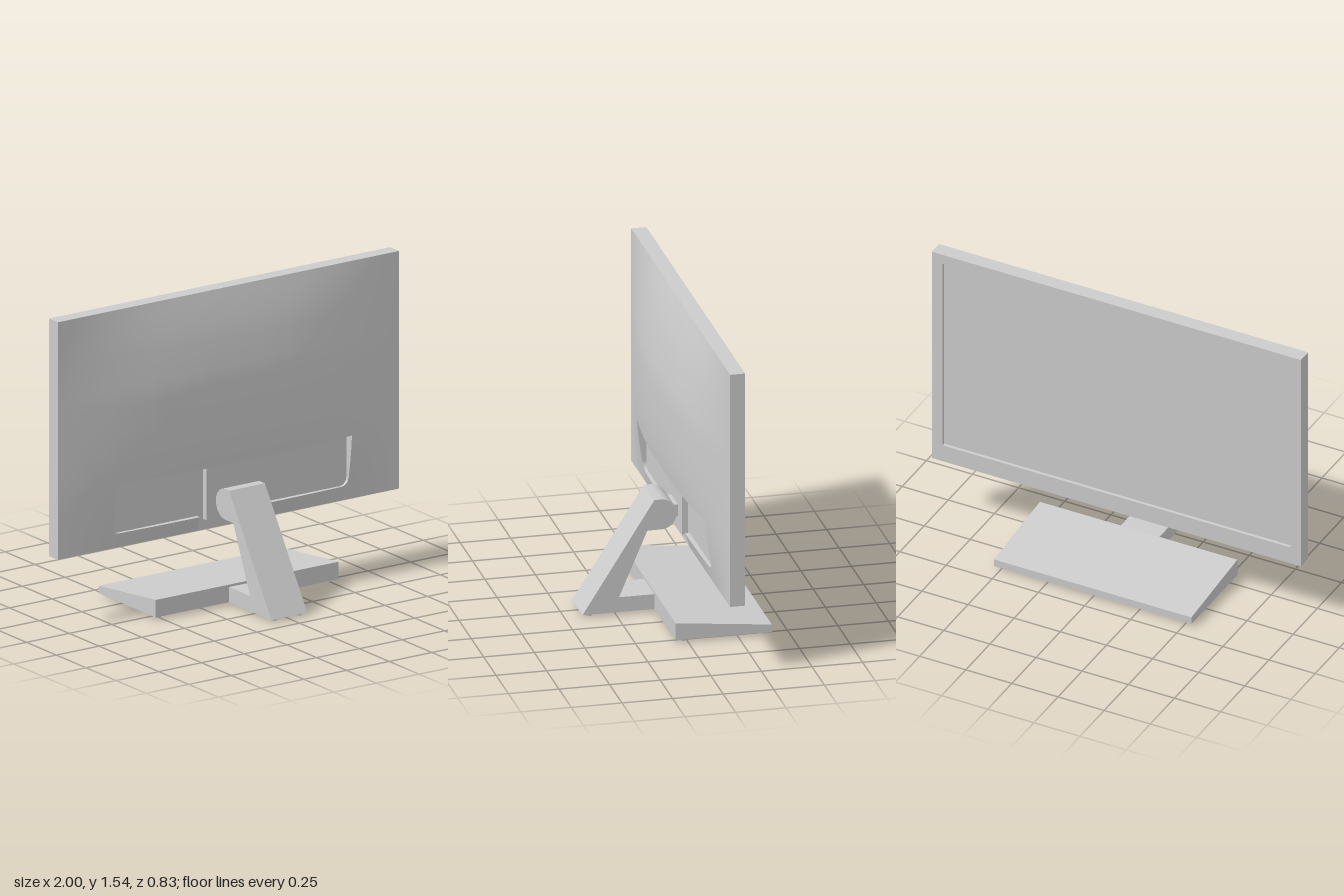
import * as THREE from 'three';

const grey = new THREE.MeshStandardMaterial({ color: 0xcccccc });
const greyDouble = new THREE.MeshStandardMaterial({ color: 0xcccccc, side: THREE.DoubleSide });

const BACK = -0.095, BOTTOM = 0.345, TOP = 1.54;
const POCKET = { x: 0.69, top: 0.68, low: 0.42, notch: 0.185, r: 0.04 };

function lerpTable(table, v) {
  for (let i = 1; i < table.length; i++) {
    const [a, fa] = table[i - 1], [b, fb] = table[i];
    if (v <= b) return fa + (fb - fa) * (v - a) / (b - a);
  }
  return table[table.length - 1][1];
}

// Bulge of the rear shell: a width profile times a height profile
const across = [[0, 1], [0.2, 0.99], [0.33, 0.95], [0.45, 0.87], [0.58, 0.72], [0.7, 0.55], [0.85, 0.29], [1, 0]];
const upward = [[0.345, 0], [0.42, 0.25], [0.52, 0.55], [0.6, 0.74], [0.68, 0.87], [0.78, 0.96], [0.9, 1],
  [1.02, 0.99], [1.12, 0.96], [1.23, 0.79], [1.35, 0.56], [1.45, 0.29], [1.54, 0]];
const shellZ = (x, y) => BACK + 0.098 * lerpTable(across, Math.min(1, Math.abs(x))) * lerpTable(upward, Math.max(BOTTOM, y));

function gridGeometry(cols, rows, point) {
  const pos = [], idx = [];
  for (let j = 0; j <= rows; j++) for (let i = 0; i <= cols; i++) pos.push(...point(i, j));
  for (let j = 0; j < rows; j++) for (let i = 0; i < cols; i++) {
    const a = j * (cols + 1) + i, c = a + cols + 1;
    idx.push(a, a + 1, c + 1, a, c + 1, c);
  }
  const g = new THREE.BufferGeometry();
  g.setAttribute('position', new THREE.Float32BufferAttribute(pos, 3));
  g.setIndex(idx);
  return g;
}

// Patch of the shell between two heights, with normals taken from the slope
function shellPatch(xs, y0, y1, rows) {
  const g = gridGeometry(xs.length - 1, rows, (i, j) => {
    const lo = y0(xs[i]), y = lo + (y1(xs[i]) - lo) * j / rows;
    return [xs[i], y, shellZ(xs[i], y)];
  });
  const p = g.attributes.position, normals = [], e = 0.05, n = new THREE.Vector3();
  for (let k = 0; k < p.count; k++) {
    const x = p.getX(k), y = p.getY(k);
    const xa = Math.max(-1, x - e), xb = Math.min(1, x + e), ya = Math.max(BOTTOM, y - e), yb = Math.min(TOP, y + e);
    n.set(-(shellZ(xb, y) - shellZ(xa, y)) / (xb - xa), -(shellZ(x, yb) - shellZ(x, ya)) / (yb - ya), 1).normalize();
    normals.push(n.x, n.y, n.z);
  }
  g.setAttribute('normal', new THREE.Float32BufferAttribute(normals, 3));
  return g;
}

const range = (a, b, n) => Array.from({ length: n + 1 }, (_, i) => a + (b - a) * i / n);

// Extrudes a side profile given as (z, y), centred across x
function sideExtrude(shape, width) {
  const g = new THREE.ExtrudeGeometry(shape, { depth: width, bevelEnabled: false, curveSegments: 20 });
  return g.rotateY(-Math.PI / 2).translate(width / 2, 0, 0);
}

export function createModel() {
  const model = new THREE.Group();
  const add = (name, geometry, material = grey, parent = model) => {
    const m = new THREE.Mesh(geometry, material);
    m.name = name;
    parent.add(m);
    return m;
  };
  const box = (name, x0, x1, y0, y1, z0, z1, parent) => add(name,
    new THREE.BoxGeometry(x1 - x0, y1 - y0, z1 - z0).translate((x0 + x1) / 2, (y0 + y1) / 2, (z0 + z1) / 2), grey, parent);
  const group = name => {
    const g = new THREE.Group();
    g.name = name;
    model.add(g);
    return g;
  };
  const outline = (Type, pts) => new Type(pts.map(p => new THREE.Vector2(...p)));

  // Frame around the recessed screen
  const frame = outline(THREE.Shape, [[-1, BOTTOM], [1, BOTTOM], [1, TOP], [-1, TOP]]);
  frame.holes.push(outline(THREE.Path, [[-0.943, 0.437], [-0.943, 1.488], [0.943, 1.488], [0.943, 0.437]]));
  add('bezel', new THREE.ExtrudeGeometry(frame, { depth: 0.075, bevelEnabled: false }).translate(0, 0, -0.17));
  box('screen', -0.943, 0.943, 0.437, 1.488, -0.153, BACK);

  // Bulged rear shell, left open around the connector pocket
  const shell = group('rearShell');
  const P = POCKET;
  const pocketLow = x => {
    const d = Math.max(0, Math.abs(x) - (P.x - P.r));
    return P.low + P.r - Math.sqrt(Math.max(0, P.r * P.r - d * d));
  };
  add('shellUpper', shellPatch(range(-1, 1, 60), () => P.top, () => TOP, 40), greyDouble, shell);
  for (const s of [-1, 1]) {
    const order = a => s > 0 ? a : a.map(x => -x).reverse();
    add('shellSide', shellPatch(order(range(P.x, 1, 12)), () => BOTTOM, () => P.top, 16), greyDouble, shell);
    const xs = [...range(P.notch, P.x - P.r, 14), ...range(P.x - P.r, P.x, 8).slice(1)];
    add('shellLowerStrip', shellPatch(order(xs), () => BOTTOM, pocketLow, 5), greyDouble, shell);
  }

  // Walls of the pocket, from the shell down to the flat panel
  const half = [[P.notch, BOTTOM], [P.notch, P.low]];
  for (const x of range(P.notch, P.x - P.r, 8).slice(1)) half.push([x, P.low]);
  for (const t of range(0, Math.PI / 2, 8).slice(1))
    half.push([P.x - P.r + P.r * Math.sin(t), P.low + P.r - P.r * Math.cos(t)]);
  for (const y of range(P.low + P.r, P.top, 6).slice(1)) half.push([P.x, y]);
  for (const x of range(P.x, 0, 16).slice(1)) half.push([x, P.top]);
  const loop = [...half, ...half.slice(0, -1).reverse().map(([x, y]) => [-x, y])];
  const walls = gridGeometry(loop.length - 1, 1, (i, j) => [...loop[i], j ? shellZ(...loop[i]) : BACK]).toNonIndexed();
  walls.computeVertexNormals();
  add('pocketWalls', walls, greyDouble, shell);

  // Connectors in the pocket ceiling
  for (const [x, w] of [[0.34, 0.02], [0.385, 0.06], [0.425, 0.01], [0.458, 0.012]])
    box('connector', x - w / 2, x + w / 2, 0.67, P.top, -0.075, -0.05);

  // Mounting plate and hinge
  box('mountPlate', -0.15, 0.15, 0.4, P.top, BACK, -0.065);
  box('hingeLug', -0.07, 0.07, 0.465, 0.525, -0.07, 0);

  // Buttons under the frame
  for (let i = 0; i < 7; i++) {
    const x = -0.8 + i * 0.08;
    box('button', x - 0.01, x + 0.01, 0.337, BOTTOM, -0.155, -0.135);
  }

  // Leaning arm with a rounded head and a flat foot
  const arm = new THREE.Shape();
  arm.moveTo(0.06, 0.012);
  arm.lineTo(0.415, 0.012);
  arm.lineTo(0.06, 0.572);
  arm.lineTo(0.027, 0.572);
  arm.absarc(0.027, 0.495, 0.077, Math.PI / 2, Math.PI * 1.5, false);
  arm.lineTo(0.095, 0.418);
  arm.lineTo(0.235, 0.088);
  arm.lineTo(0.06, 0.088);
  add('standArm', sideExtrude(arm, 0.21));

  // Wedge-shaped base
  add('standBase', sideExtrude(outline(THREE.Shape,
    [[-0.415, 0.012], [0.06, 0.012], [0.06, 0.1], [-0.415, 0.05]]), 1.07));

  // Round feet
  for (const [x, z] of [[0.5, -0.375], [0.5, 0.022], [0.072, 0.38]])
    for (const s of [-1, 1])
      add('foot', new THREE.CylinderGeometry(0.02, 0.02, 0.014, 20).translate(s * x, 0.007, z));

  return model;
}
